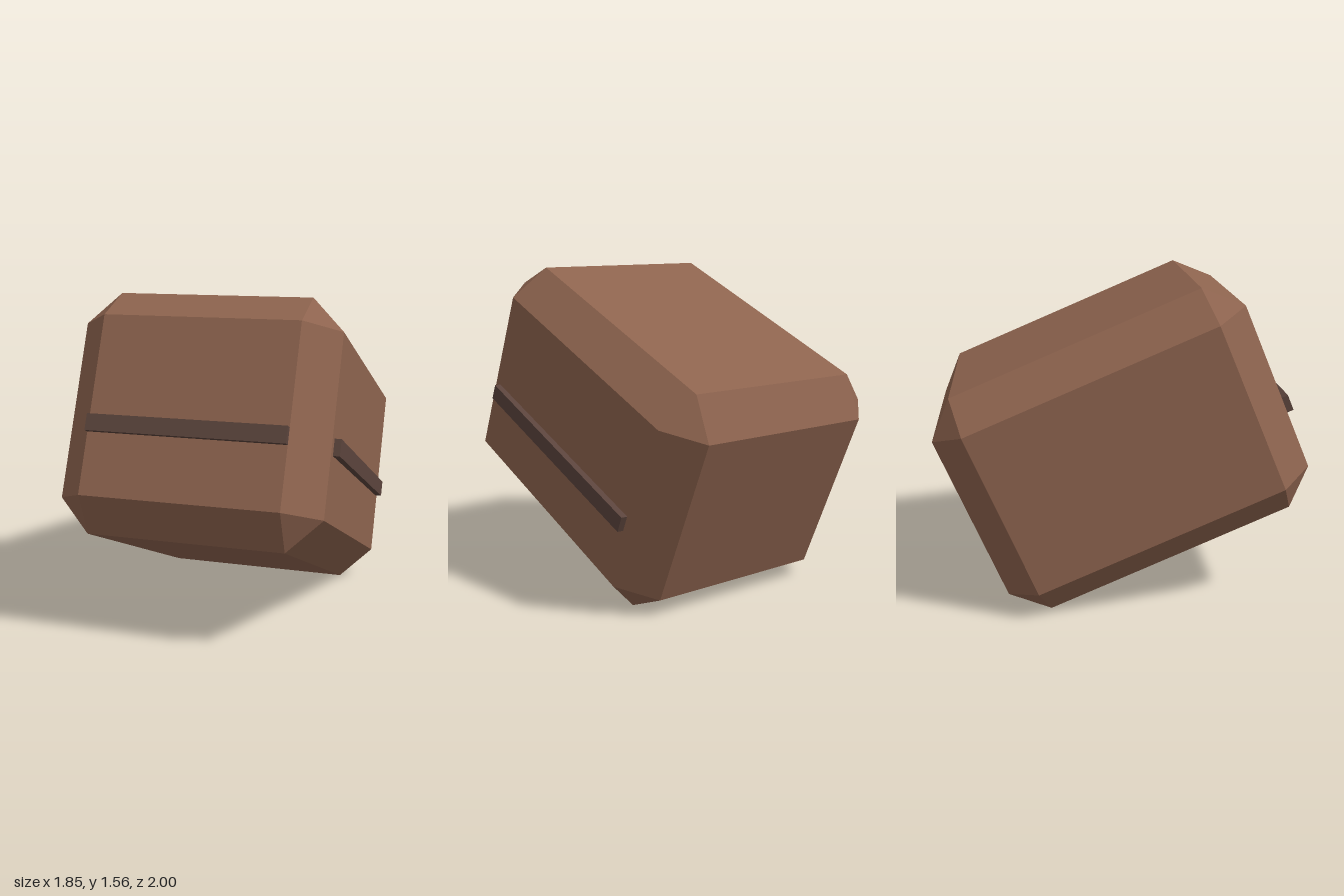
import * as THREE from 'three';
import { ConvexGeometry } from 'three/addons/geometries/ConvexGeometry.js';

// Box with every edge and corner cut off flat
function chamferedBox(w, h, d, bevel) {
  const half = [w / 2, h / 2, d / 2];
  const points = [];
  for (const sx of [-1, 1]) for (const sy of [-1, 1]) for (const sz of [-1, 1]) {
    const sign = [sx, sy, sz];
    // one corner point on each of the three faces that meet here
    for (let face = 0; face < 3; face++) {
      const p = half.map((v, i) => sign[i] * (i === face ? v : v - bevel));
      points.push(new THREE.Vector3(...p));
    }
  }
  return new ConvexGeometry(points);
}

export function createModel() {
  const brown = new THREE.MeshStandardMaterial({ name: 'brown', color: 0x8d634e });
  const darkBrown = new THREE.MeshStandardMaterial({ name: 'dark brown', color: 0x5b443c });

  const W = 1.254, H = 1.16, D = 1.568;
  const model = new THREE.Group();
  model.name = 'tiltedBlock';

  const add = (name, geometry, material, x = 0, y = 0, z = 0) => {
    const mesh = new THREE.Mesh(geometry, material);
    mesh.name = name;
    mesh.position.set(x, y, z);
    block.add(mesh);
  };

  // Whole block is turned and pitched upward
  const block = new THREE.Group();
  block.name = 'block';
  block.rotation.set(-0.401, 0.557, 0, 'YXZ');
  block.position.y = 0.78;
  model.add(block);

  add('body', chamferedBox(W, H, D, 0.157), brown);

  // Raised bands, half sunk into the front and one side
  const bandY = -0.092, bandH = 0.078, bandT = 0.063;
  add('frontBand', new THREE.BoxGeometry(0.94, bandH, bandT), darkBrown, 0, bandY, D / 2);
  add('sideBand', new THREE.BoxGeometry(bandT, bandH, 1.176), darkBrown, W / 2, bandY, 0);

  return model;
}
